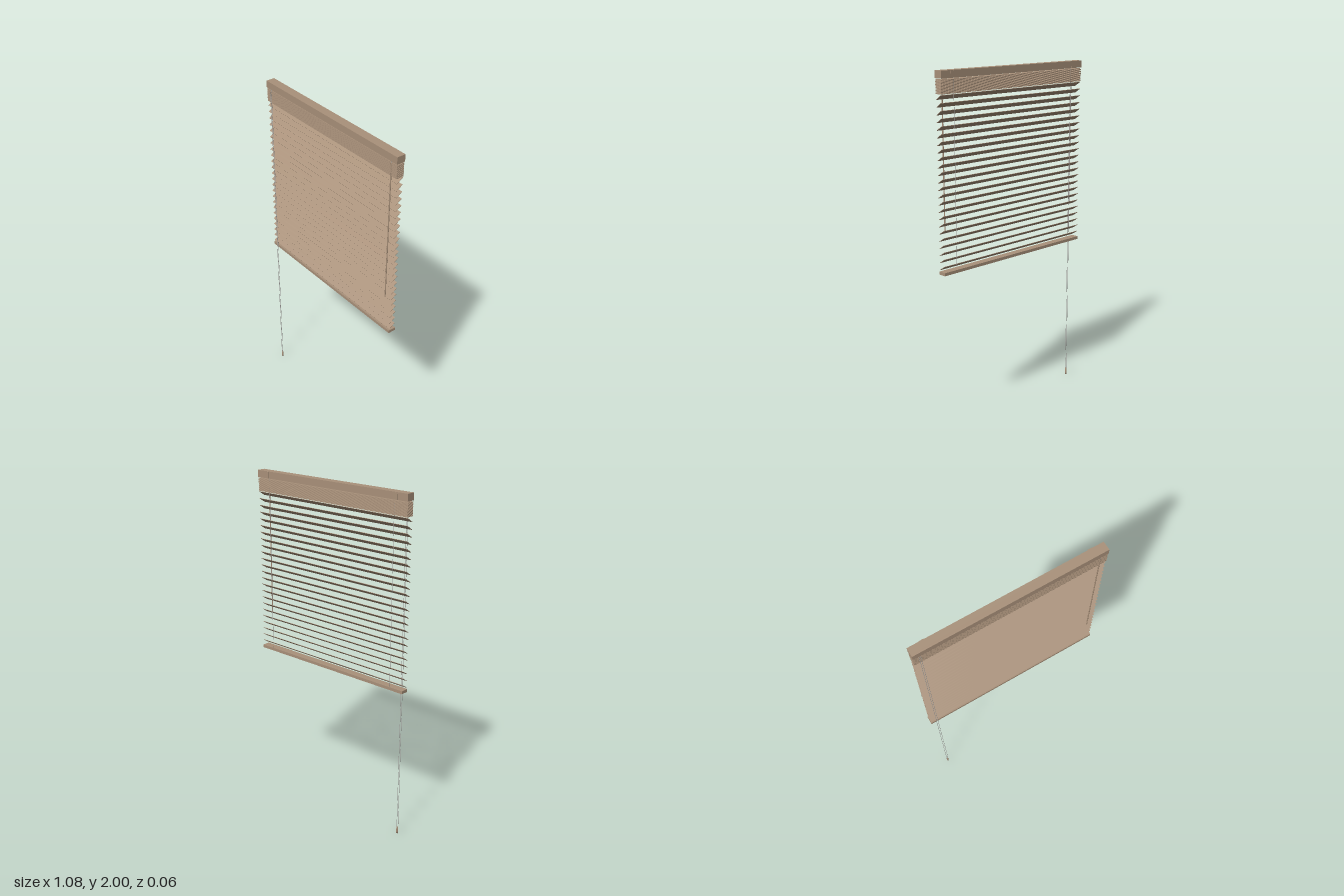
import * as THREE from 'three';

const mat = (name, color) => Object.assign(new THREE.MeshStandardMaterial({ color }), { name });

export function createModel() {
  const group = new THREE.Group();
  const wood = mat('warm taupe', 0xa9917a);
  const cordGrey = mat('cord grey', 0xaaa8a5);

  const add = (name, geometry, material, x, y, z, parent = group) => {
    const mesh = new THREE.Mesh(geometry, material);
    mesh.name = name;
    mesh.position.set(x, y, z);
    parent.add(mesh);
    return mesh;
  };
  const box = (w, h, d) => new THREE.BoxGeometry(w, h, d);
  const rod = (name, r, y0, y1, material, x, z) =>
    add(name, new THREE.CylinderGeometry(r, r, y1 - y0, 8), material, x, (y0 + y1) / 2, z);

  // Head rail with a slim valance along its front
  add('headRail', box(1.082, 0.04, 0.043), wood, 0, 1.98, -0.0045);
  add('valance', box(1.082, 0.04, 0.008), wood, 0, 1.98, 0.021);

  // Slats: a tight flat bundle under the rail, then the open tilted ones
  const slat = box(1.08, 0.0022, 0.045);
  const bundle = new THREE.Group();
  bundle.name = 'stackedSlats';
  group.add(bundle);
  for (let i = 0; i < 20; i++) add('stackedSlat', slat, wood, 0, 1.881 + i * 0.0038, 0, bundle);

  const open = new THREE.Group();
  open.name = 'tiltedSlats';
  group.add(open);
  for (let i = 0; i < 24; i++) {
    add('tiltedSlat', slat, wood, 0, 0.95 + i * 0.0397, 0, open).rotation.x = 0.58;
  }

  // Bottom rail
  add('bottomRail', box(1.082, 0.017, 0.046), wood, 0, 0.92, 0);

  // Lift cords behind the slats and wall brackets behind the rail
  for (const side of [-1, 1]) {
    rod('liftCord', 0.001, 0.92, 1.965, cordGrey, side * 0.453, -0.0205);
    add('wallBracket', box(0.026, 0.036, 0.004), wood, side * 0.463, 1.98, -0.027);
  }

  // Pull cords with a tassel
  for (const x of [-0.508, -0.499]) rod('pullCord', 0.0012, 0.04, 1.965, cordGrey, x, 0.0235);
  const profile = [[0, 0], [0.005, 0], [0.0065, 0.012], [0.0055, 0.03], [0.003, 0.044], [0, 0.046]]
    .map(([x, y]) => new THREE.Vector2(x, y));
  add('tassel', new THREE.LatheGeometry(profile, 12), wood, -0.5035, 0, 0.0225);

  // Tilt wand hanging from a small hook
  rod('tiltWand', 0.0032, 1.135, 1.95, wood, 0.497, 0.0215);
  rod('wandHook', 0.002, 1.945, 1.968, cordGrey, 0.497, 0.0215);

  return group;
}
